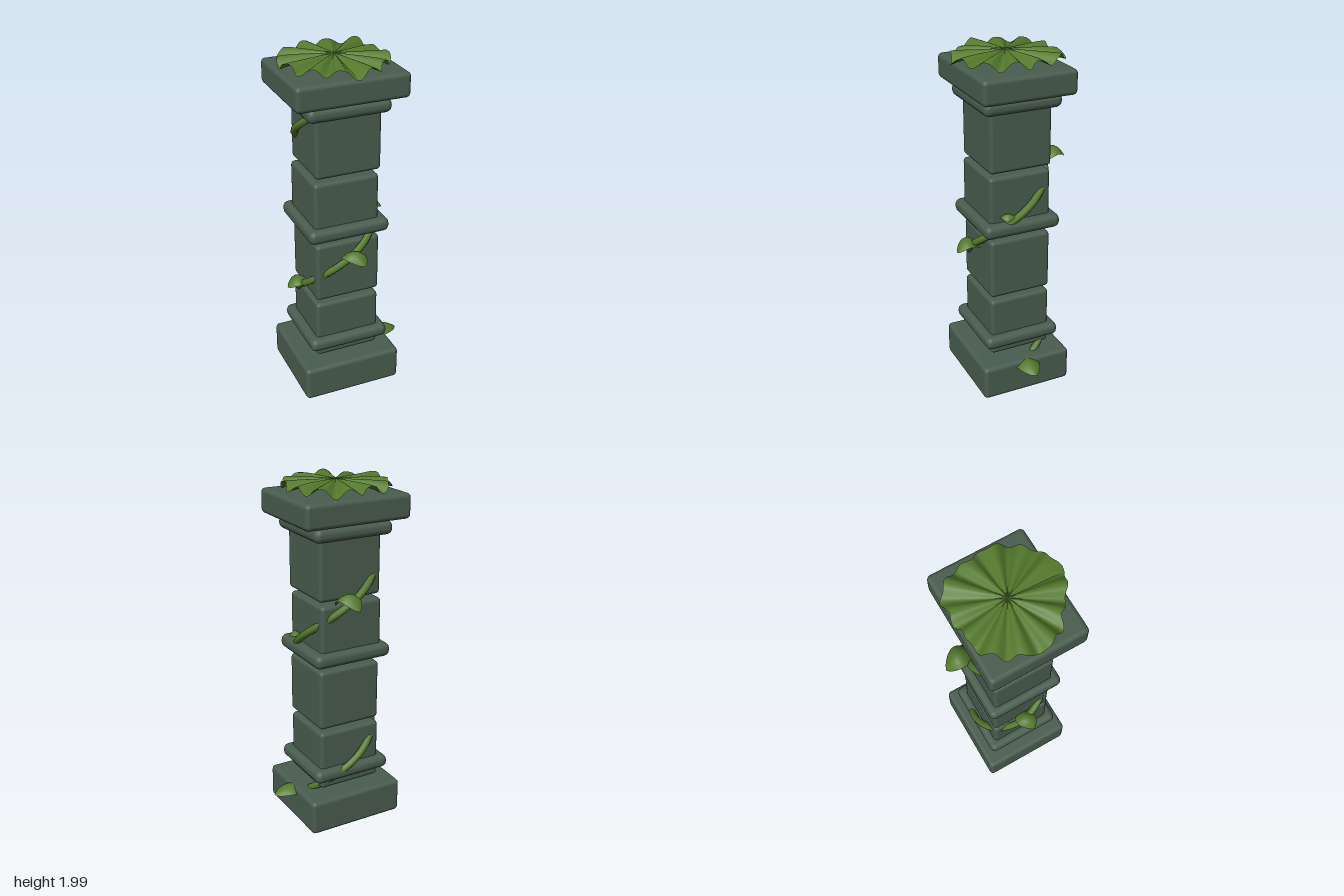
import * as THREE from 'three';
import { RoundedBoxGeometry } from 'three/addons/geometries/RoundedBoxGeometry.js';

const CX = -0.045, CZ = 0.022;

// Grid surface from a rule f(u, v) -> [x, y, z]
function surface(nu, nv, f) {
  const pos = [], idx = [];
  for (let i = 0; i <= nu; i++) {
    for (let j = 0; j <= nv; j++) pos.push(...f(i / nu, j / nv));
  }
  for (let i = 0; i < nu; i++) {
    for (let j = 0; j < nv; j++) {
      const a = i * (nv + 1) + j, b = a + nv + 1;
      idx.push(a, a + 1, b, b, a + 1, b + 1);
    }
  }
  const g = new THREE.BufferGeometry();
  g.setAttribute('position', new THREE.Float32BufferAttribute(pos, 3));
  g.setIndex(idx);
  g.computeVertexNormals();
  return g;
}

// Arched, pointed leaf growing along +z
function leafGeometry(length, width, lift, sway) {
  return surface(12, 8, (u, v) => {
    const s = v * 2 - 1;
    const half = width * 0.5 * Math.pow(Math.sin(Math.PI * (0.12 + 0.88 * u)), 0.7);
    const y = lift * (Math.sin(Math.PI * u * 0.95) - 0.35 * u * u) - half * 0.5 * s * s;
    return [s * half + sway * u * u, y, length * u];
  });
}

export function createModel() {
  const group = new THREE.Group();
  const stone = new THREE.MeshStandardMaterial({ color: 0x4a5d4f });
  stone.name = 'dark green stone';
  const leafGreen = new THREE.MeshStandardMaterial({ color: 0x557a2d, side: THREE.DoubleSide });
  leafGreen.name = 'leaf green';

  const add = (name, geometry, material) => {
    const mesh = new THREE.Mesh(geometry, material);
    mesh.name = name;
    group.add(mesh);
    return mesh;
  };

  // Stone blocks: name, width, depth, bottom, top, bevel, x
  const blocks = [
    ['base', 0.585, 0.545, 0.01, 0.215, 0.025, CX],
    ['shaftBlock1', 0.38, 0.365, 0.24, 0.592, 0.022, CX],
    ['lowerBand', 0.475, 0.455, 0.295, 0.372, 0.034, CX],
    ['shaftBlock2', 0.38, 0.365, 0.618, 0.97, 0.022, CX + 0.003],
    ['shaftBlock3', 0.38, 0.365, 0.998, 1.348, 0.022, CX - 0.005],
    ['middleBand', 0.475, 0.455, 1.005, 1.085, 0.034, CX],
    ['shaftBlock4', 0.38, 0.365, 1.373, 1.725, 0.022, CX + 0.005],
    ['upperBand', 0.475, 0.455, 1.708, 1.785, 0.034, CX],
    ['cap', 0.635, 0.54, 1.793, 1.932, 0.025, CX],
  ];
  for (const [name, w, d, y0, y1, bevel, x] of blocks) {
    add(name, new RoundedBoxGeometry(w, y1 - y0, d, 2, bevel), stone)
      .position.set(x, (y0 + y1) / 2, CZ);
  }

  // Vine winding up the shaft; angle 0 is the front, growing towards +x
  const R = 0.217;
  const vineY = (a) => 0.885 + 0.98 * a / (2 * Math.PI);
  const points = [];
  for (let i = 0; i <= 64; i++) {
    const a = -1.5 * Math.PI + (3 * Math.PI + 0.7) * i / 64;
    points.push(new THREE.Vector3(CX + R * Math.sin(a), vineY(a), CZ + R * Math.cos(a)));
  }
  add('vine', new THREE.TubeGeometry(new THREE.CatmullRomCurve3(points), 160, 0.021, 8), leafGreen);

  // Vine leaves: angle, start height, start radius, length, width, lift, sideways sway
  const H = Math.PI / 2;
  const leaves = [
    [-3 * H, 0.18, 0.2, 0.205, 0.14, 0.038, 0],
    [-H, 0.66, 0.17, 0.135, 0.12, 0.045, 0.02],
    [0, 0.885, 0.18, 0.145, 0.13, 0.055, 0.04],
    [H - 0.4, 1.11, 0.19, 0.07, 0.08, 0.03, 0],
    [2 * H - 0.35, 1.365, 0.19, 0.165, 0.13, 0.07, 0.02],
  ];
  for (const [a, y, r, length, width, lift, sway] of leaves) {
    const leaf = add('vineLeaf', leafGeometry(length, width, lift, sway), leafGreen);
    leaf.position.set(CX + r * Math.sin(a), y, CZ + r * Math.cos(a));
    leaf.rotation.y = Math.abs(a) > 2 && a > 0 ? Math.PI : a;
  }

  // Pleated leafy crown: twelve arched lobes with narrow radial folds
  const crown = surface(12, 144, (u, v) => {
    const a = v * Math.PI * 2;
    const fold = Math.pow(Math.abs(Math.cos(a * 6)), 3);
    const edge = 0.287 + 0.013 * Math.sin(a * 3 + 0.6) + 0.01 * Math.cos(a * 5)
      + 0.007 * Math.sin(a * 17);
    const r = u * edge * (1 + 0.03 * u * fold);
    const droop = 0.042 * fold * Math.pow(u, 0.8) + 0.012 * Math.pow(u, 6)
      * (1 + Math.sin(a * 7 + 1)) / 2;
    return [CX - 0.003 + r * Math.sin(a), 1.996 - droop, CZ + r * Math.cos(a)];
  });
  add('leafCrown', crown, leafGreen);

  return group;
}
